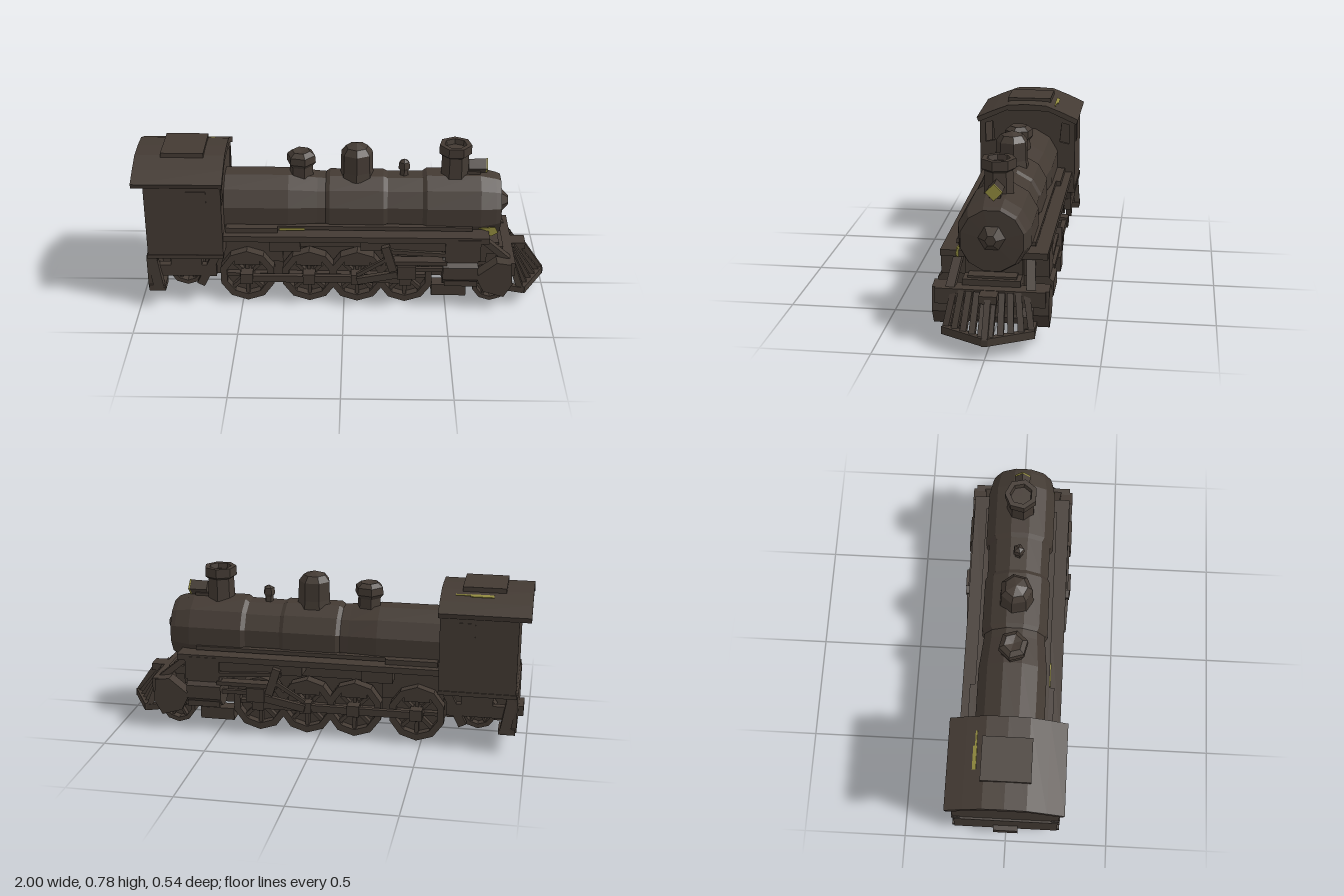
import * as THREE from 'three';

const iron = new THREE.MeshStandardMaterial({ color: 0x433a33 });
iron.name = 'dark iron';
const brass = new THREE.MeshStandardMaterial({ color: 0x938c3f });
brass.name = 'lamp yellow';

export function createModel() {
  const model = new THREE.Group();
  model.name = 'steamLocomotive';

  // Adds a faceted mesh
  const add = (name, geo, x = 0, y = 0, z = 0, mat = iron, parent = model) => {
    const g = geo.index ? geo.toNonIndexed() : geo;
    g.computeVertexNormals();
    const m = new THREE.Mesh(g, mat);
    m.name = name;
    m.position.set(x, y, z);
    parent.add(m);
    return m;
  };
  // Box given by its limits
  const box = (name, x0, x1, y0, y1, z0, z1, mat = iron) =>
    add(name, new THREE.BoxGeometry(x1 - x0, y1 - y0, z1 - z0), (x0 + x1) / 2, (y0 + y1) / 2, (z0 + z1) / 2, mat);
  // Box on the side s (+1 or -1), given by its distances from the centre line
  const sideBox = (name, s, x0, x1, y0, y1, z0, z1) =>
    box(name, x0, x1, y0, y1, Math.min(s * z0, s * z1), Math.max(s * z0, s * z1));
  // Turned shape standing upright; profile of [radius, height]
  const turned = (name, profile, sides, x, y, spin = 0) => {
    const g = new THREE.LatheGeometry(profile.map(p => new THREE.Vector2(...p)), sides);
    g.rotateY(spin);
    return add(name, g, x, y, 0);
  };
  // Bar between two points
  const rod = (name, a, b, w, h = w) => {
    const A = new THREE.Vector3(...a), B = new THREE.Vector3(...b);
    const m = add(name, new THREE.BoxGeometry(A.distanceTo(B), h, w));
    m.position.copy(A).add(B).multiplyScalar(0.5);
    m.quaternion.setFromUnitVectors(new THREE.Vector3(1, 0, 0), B.clone().sub(A).normalize());
  };
  const poly = pts => new THREE.Shape(pts.map(p => new THREE.Vector2(...p)));
  // Outline in -z and y, extruded along x
  const acrossX = (name, shape, x0, x1) => {
    const g = new THREE.ExtrudeGeometry(shape, { depth: x1 - x0, bevelEnabled: false });
    g.rotateY(Math.PI / 2);
    return add(name, g, x0, 0, 0);
  };
  // Outline in x and y, extruded along z
  const acrossZ = (name, shape, z0, z1, mat = iron) =>
    add(name, new THREE.ExtrudeGeometry(shape, { depth: z1 - z0, bevelEnabled: false }), 0, 0, z0, mat);

  // Boiler lying along x, with raised bands and a chamfered smokebox door
  const boiler = new THREE.LatheGeometry([
    [0, -0.62], [0.17, -0.62], [0.17, -0.27], [0.155, -0.13], [0.152, -0.09], [0.165, -0.07],
    [0.165, 0.19], [0.155, 0.21], [0.158, 0.38], [0.172, 0.4], [0.172, 0.66], [0.155, 0.735], [0.145, 0.76], [0, 0.765],
  ].map(p => new THREE.Vector2(...p)), 12);
  boiler.rotateY(Math.PI / 12);
  boiler.rotateZ(-Math.PI / 2);
  add('boiler', boiler, 0, 0.465, 0);
  const cone = new THREE.CylinderGeometry(0.025, 0.062, 0.04, 6);
  cone.rotateZ(-Math.PI / 2);
  add('smokeboxDoorCap', cone, 0.782, 0.48, 0);
  box('smokeboxSaddle', 0.45, 0.7, 0.2, 0.36, -0.13, 0.13);
  box('firebox', -0.6, -0.3, 0.2, 0.45, -0.14, 0.14);

  // Chimney, domes, whistle and headlight
  turned('chimney', [[0.07, 0], [0.066, 0.11], [0.08, 0.12], [0.08, 0.165], [0.055, 0.165], [0.05, 0.14], [0, 0.14]], 7, 0.535, 0.618, Math.PI / 7);
  turned('steamDome', [[0.085, 0], [0.08, 0.04], [0.078, 0.13], [0.055, 0.16], [0, 0.178]], 7, 0.06, 0.605);
  turned('sandDome', [[0.06, 0], [0.058, 0.06], [0.073, 0.08], [0.07, 0.115], [0.045, 0.135], [0, 0.125]], 6, -0.21, 0.605, 0.3);
  turned('bell', [[0.022, 0], [0.02, 0.04], [0.03, 0.055], [0.026, 0.085], [0, 0.1]], 5, 0.29, 0.6);
  box('headlightBracket', 0.58, 0.66, 0.6, 0.645, -0.025, 0.025);
  const lamp = new THREE.CylinderGeometry(0.038, 0.036, 0.085, 4);
  lamp.rotateZ(-Math.PI / 2);
  add('headlight', lamp, 0.643, 0.666, 0);
  const lens = new THREE.CylinderGeometry(0.039, 0.039, 0.008, 4);
  lens.rotateZ(-Math.PI / 2);
  add('headlightLens', lens, 0.689, 0.667, 0, brass);

  // Cab end walls with windows
  const endWall = windows => {
    const s = poly([[-0.255, 0.28], [0.255, 0.28], [0.255, 0.67], [0.11, 0.74], [-0.11, 0.74], [-0.255, 0.67]]);
    s.holes.push(...windows.map(poly));
    return s;
  };
  const frontWindow = k => [[k * 0.175, 0.56], [k * 0.225, 0.55], [k * 0.225, 0.655], [k * 0.185, 0.665]];
  acrossX('cabFrontWall', endWall([frontWindow(1), frontWindow(-1)]), -0.6, -0.58);
  acrossX('cabBackWall', endWall([[[-0.175, 0.55], [-0.2, 0.555], [-0.2, 0.605]]]), -0.945, -0.925);
  box('cabFloor', -0.945, -0.58, 0.28, 0.3, -0.255, 0.255);
  // Arched roof with eaves, a hatch and a yellow strip
  acrossX('cabRoof', poly([[-0.272, 0.685], [-0.262, 0.66], [-0.11, 0.728], [0.11, 0.728], [0.262, 0.66], [0.272, 0.685],
    [0.19, 0.722], [0.1, 0.757], [0, 0.762], [-0.1, 0.757], [-0.19, 0.722]]), -1, -0.57);
  box('roofHatch', -0.875, -0.67, 0.75, 0.774, -0.115, 0.115);
  const strip = add('roofStrip', new THREE.BoxGeometry(0.11, 0.005, 0.018), -0.765, 0.7405, -0.145, brass);
  const stripTail = add('roofStripTail', new THREE.BoxGeometry(0.07, 0.005, 0.008), -0.675, 0.7415, -0.142, brass);
  strip.rotation.x = stripTail.rotation.x = -0.37;

  // Main frame, running down the middle
  box('frame', -0.93, 0.76, 0.11, 0.3, -0.11, 0.11);
  box('boilerCradle', -0.58, 0.6, 0.28, 0.39, -0.13, 0.13);
  box('rearBeam', -0.955, -0.9, 0.11, 0.285, -0.25, 0.25);
  box('rearCoupler', -0.98, -0.93, 0.12, 0.17, -0.06, 0.06);

  // Spoked wheel with rim, hub, backing disc and an optional counterweight
  const wheel = (name, x, y, z, r, spokes, s) => {
    const g = new THREE.Group();
    g.name = name;
    g.position.set(x, y, z);
    model.add(g);
    const ring = k => Array.from({ length: 10 }, (_, i) => {
      const a = (i + 0.5) / 5 * Math.PI;
      return [k * Math.cos(a), k * Math.sin(a)];
    });
    const rim = poly(ring(r));
    rim.holes.push(poly(ring(r * 0.76)));
    add('rim', new THREE.ExtrudeGeometry(rim, { depth: 0.06, bevelEnabled: false }), 0, 0, -0.03, iron, g);
    add('disc', new THREE.ExtrudeGeometry(poly(ring(r * 0.8)), { depth: 0.012, bevelEnabled: false }), 0, 0, -s * 0.018 - 0.006, iron, g);
    const hub = new THREE.CylinderGeometry(r * 0.27, r * 0.27, 0.08, 7);
    hub.rotateX(Math.PI / 2);
    add('hub', hub, 0, 0, 0, iron, g);
    for (let i = 0; i < spokes; i++) {
      const a = i / spokes * Math.PI * 2;
      const m = add('spoke', new THREE.BoxGeometry(r * 0.62, r * 0.13, 0.035), Math.cos(a) * r * 0.5, Math.sin(a) * r * 0.5, 0, iron, g);
      m.rotation.z = a;
    }
    if (r > 0.1) add('counterweight', new THREE.BoxGeometry(r * 0.9, r * 0.35, 0.045), 0, r * 0.62, s * 0.005, iron, g);
  };
  const axle = (x, y, r) => {
    const g = new THREE.CylinderGeometry(r, r, 0.28, 8);
    g.rotateX(Math.PI / 2);
    add('axle', g, x, y, 0);
  };
  const drivers = [-0.475, -0.17, 0.065, 0.3];
  drivers.forEach(x => axle(x, 0.145, 0.07));
  axle(0.72, 0.11, 0.045);
  axle(-0.77, 0.18, 0.04);

  for (const s of [1, -1]) {
    // Cab side with a window panel and sill
    sideBox('cabSide', s, -0.945, -0.58, 0.28, 0.68, 0.239, 0.255);
    sideBox('sideWindow', s, -0.745, -0.65, 0.55, 0.64, 0.25, 0.258);
    sideBox('cabSill', s, -0.95, -0.58, 0.28, 0.3, 0.22, 0.26);

    // Running boards, pipes and tanks
    sideBox('runningBoard', s, -0.58, 0.7, 0.365, 0.395, 0.1, 0.242);
    sideBox('sidePipe', s, -0.57, 0.62, 0.4, 0.42, 0.15, 0.18);
    sideBox('toolBox', s, -0.57, -0.32, 0.39, 0.42, 0.15, 0.205);
    sideBox('airTank', s, -0.36, -0.21, 0.305, 0.37, 0.15, 0.225);
    sideBox('valveGearFrame', s, 0.08, 0.49, 0.315, 0.37, 0.13, 0.23);

    // Octagonal cylinder with steam chest on top
    const cyl = new THREE.CylinderGeometry(0.085, 0.085, 0.17, 8);
    cyl.rotateY(Math.PI / 8);
    cyl.rotateZ(Math.PI / 2);
    add('cylinder', cyl, 0.565, 0.21, s * 0.185);
    sideBox('cylinderBlock', s, 0.49, 0.65, 0.13, 0.3, 0.1, 0.245);
    sideBox('steamChest', s, 0.49, 0.66, 0.27, 0.385, 0.13, 0.245);
    sideBox('footStep', s, 0.43, 0.6, 0.05, 0.11, 0.13, 0.2);

    // Wheels
    drivers.forEach(x => wheel('drivingWheel', x, 0.145, s * 0.16, 0.138, 8, s));
    wheel('pilotWheel', 0.72, 0.105, s * 0.155, 0.09, 6, s);
    wheel('trailingWheel', -0.77, 0.185, s * 0.16, 0.09, 6, s);

    // Rods and valve gear
    rod('couplingRod', [-0.49, 0.15, s * 0.215], [0.32, 0.15, s * 0.215], 0.025, 0.035);
    rod('mainRod', [0.065, 0.155, s * 0.24], [0.33, 0.21, s * 0.245], 0.025, 0.035);
    rod('pistonRod', [0.32, 0.21, s * 0.22], [0.5, 0.21, s * 0.22], 0.02);
    sideBox('crosshead', s, 0.26, 0.35, 0.18, 0.25, 0.2, 0.268);
    sideBox('slideBar', s, 0.2, 0.5, 0.25, 0.27, 0.2, 0.255);
    rod('eccentricRod', [0.065, 0.19, s * 0.245], [0.22, 0.29, s * 0.25], 0.018);
    rod('valveRod', [0.18, 0.32, s * 0.235], [0.5, 0.3, s * 0.235], 0.02);
    rod('gearLink', [0.2, 0.35, s * 0.245], [0.24, 0.22, s * 0.25], 0.03, 0.04);
    for (const x of drivers) sideBox('crankPin', s, x - 0.03, x + 0.03, 0.125, 0.18, 0.18, 0.235);

    // Trailing truck frame and steps under the cab
    sideBox('truckFrame', s, -0.93, -0.62, 0.17, 0.23, 0.2, 0.235);
    sideBox('truckSpring', s, -0.84, -0.69, 0.22, 0.29, 0.18, 0.235);
    sideBox('cabStep', s, -0.95, -0.87, 0.1, 0.13, 0.17, 0.262);
    rod('stepBracket', [-0.93, 0.28, s * 0.235], [-0.9, 0.11, s * 0.25], 0.03, 0.05);
    rod('truckBrace', [-0.62, 0.28, s * 0.22], [-0.7, 0.12, s * 0.22], 0.03, 0.04);

    // Front brace and pilot deck ends
    rod('frontBrace', [0.64, 0.38, s * 0.16], [0.8, 0.25, s * 0.18], 0.04, 0.03);
    acrossZ('pilotSide', poly([[0.64, 0.19], [0.68, 0.11], [0.78, 0.08], [0.82, 0.15], [0.81, 0.26], [0.74, 0.27]]), s * 0.225 - 0.035, s * 0.225 + 0.035);

    // Cowcatcher: slanted slats fanning out from the nose, with a foot rail
    for (let i = 0; i <= 4; i++) {
      const t = i / 4;
      rod('cowcatcherSlat', [0.84 - 0.03 * t, 0.25, s * (0.02 + 0.14 * t)], [0.97 - 0.1 * t, 0.09, s * (0.02 + 0.17 * t)], 0.028, 0.03);
    }
    rod('cowcatcherRail', [0.985, 0.088, s * 0.004], [0.875, 0.088, s * 0.2], 0.03, 0.036);
    rod('cowcatcherTie', [0.88, 0.085, s * 0.19], [0.79, 0.1, s * 0.19], 0.03);
  }

  // Yellow pipe and patch under the smokebox, on the near side only
  box('yellowPipe', -0.31, -0.19, 0.4, 0.411, 0.18, 0.186, brass);
  acrossZ('smokeboxPatch', poly([[0.65, 0.408], [0.69, 0.395], [0.71, 0.365], [0.745, 0.385], [0.73, 0.415]]), 0.158, 0.164, brass);

  // Nose of the cowcatcher, pilot beam and coupler
  acrossZ('cowcatcherNose', poly([[0.82, 0.26], [0.89, 0.26], [1, 0.1], [1, 0.07], [0.95, 0.07], [0.85, 0.23]]), -0.014, 0.014);
  box('pilotBeam', 0.75, 0.83, 0.19, 0.262, -0.245, 0.245);
  box('frontCoupler', 0.82, 0.9, 0.225, 0.26, -0.04, 0.04);
  box('pilotDeck', 0.68, 0.78, 0.25, 0.29, -0.13, 0.13);

  return model;
}
